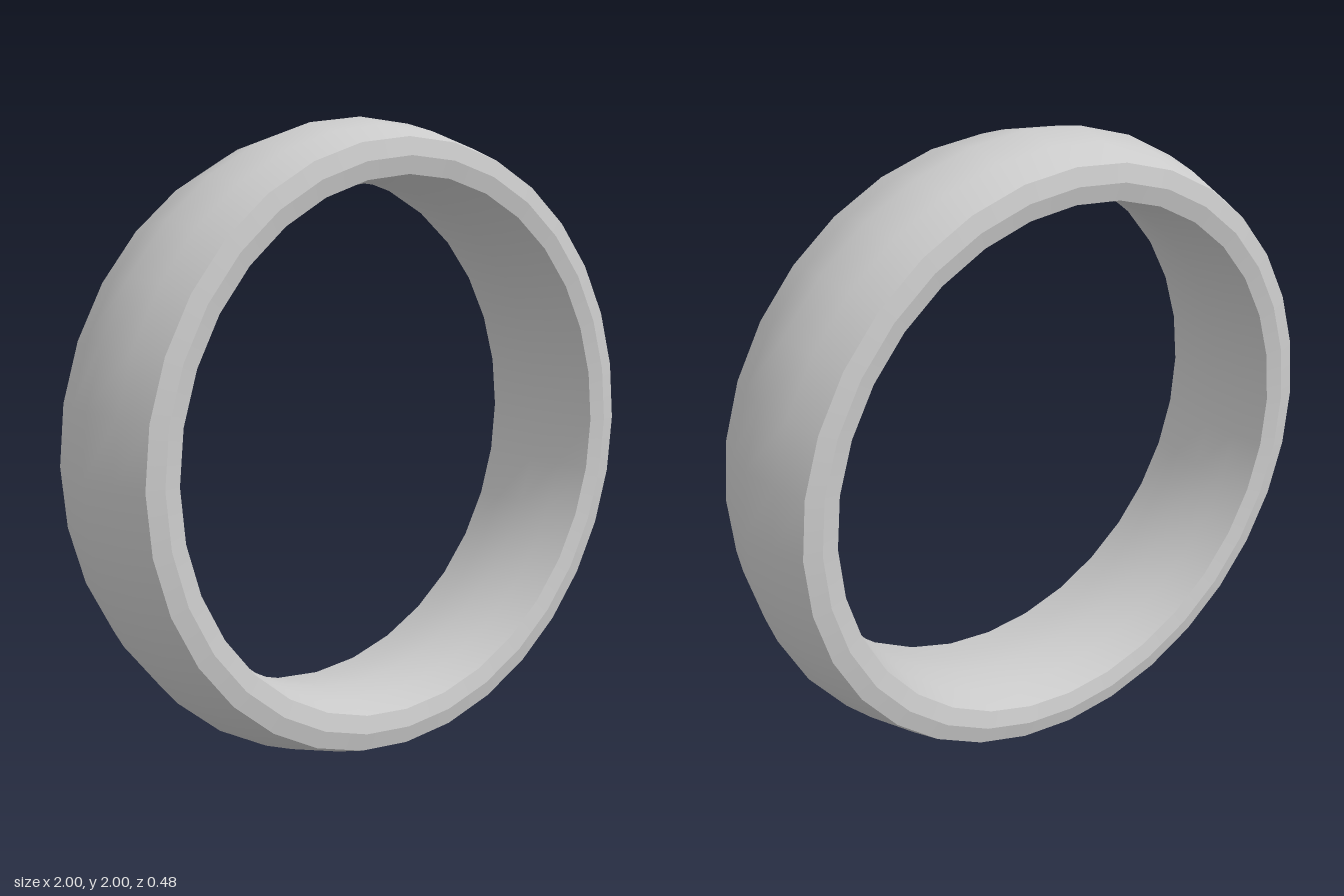
import * as THREE from 'three';

const SEGMENTS = 32;

// Smooth bands of the ring's cross-section as [radius, z]; edges between bands stay sharp
const BANDS = {
  outerBand: [[0.94, -0.228], [0.975, -0.12], [1.0, 0], [0.975, 0.12], [0.94, 0.228]],
  frontOuterBevel: [[0.94, 0.228], [0.885, 0.24]],
  frontInnerBevel: [[0.885, 0.24], [0.83, 0.228]],
  innerBand: [[0.83, 0.228], [0.81, 0.12], [0.8, 0], [0.81, -0.12], [0.83, -0.228]],
  backInnerBevel: [[0.83, -0.228], [0.885, -0.24]],
  backOuterBevel: [[0.885, -0.24], [0.94, -0.228]],
};

export function createModel() {
  const ring = new THREE.Group();
  ring.name = 'ring';
  const material = new THREE.MeshStandardMaterial({ color: 0xcccccc });

  for (const [name, profile] of Object.entries(BANDS)) {
    const points = profile.map(([r, z]) => new THREE.Vector2(r, z));
    const geometry = new THREE.LatheGeometry(points, SEGMENTS);
    geometry.rotateX(Math.PI / 2); // turn the ring's axis to face the front
    geometry.translate(0, 1, 0);
    const mesh = new THREE.Mesh(geometry, material);
    mesh.name = name;
    ring.add(mesh);
  }
  return ring;
}
